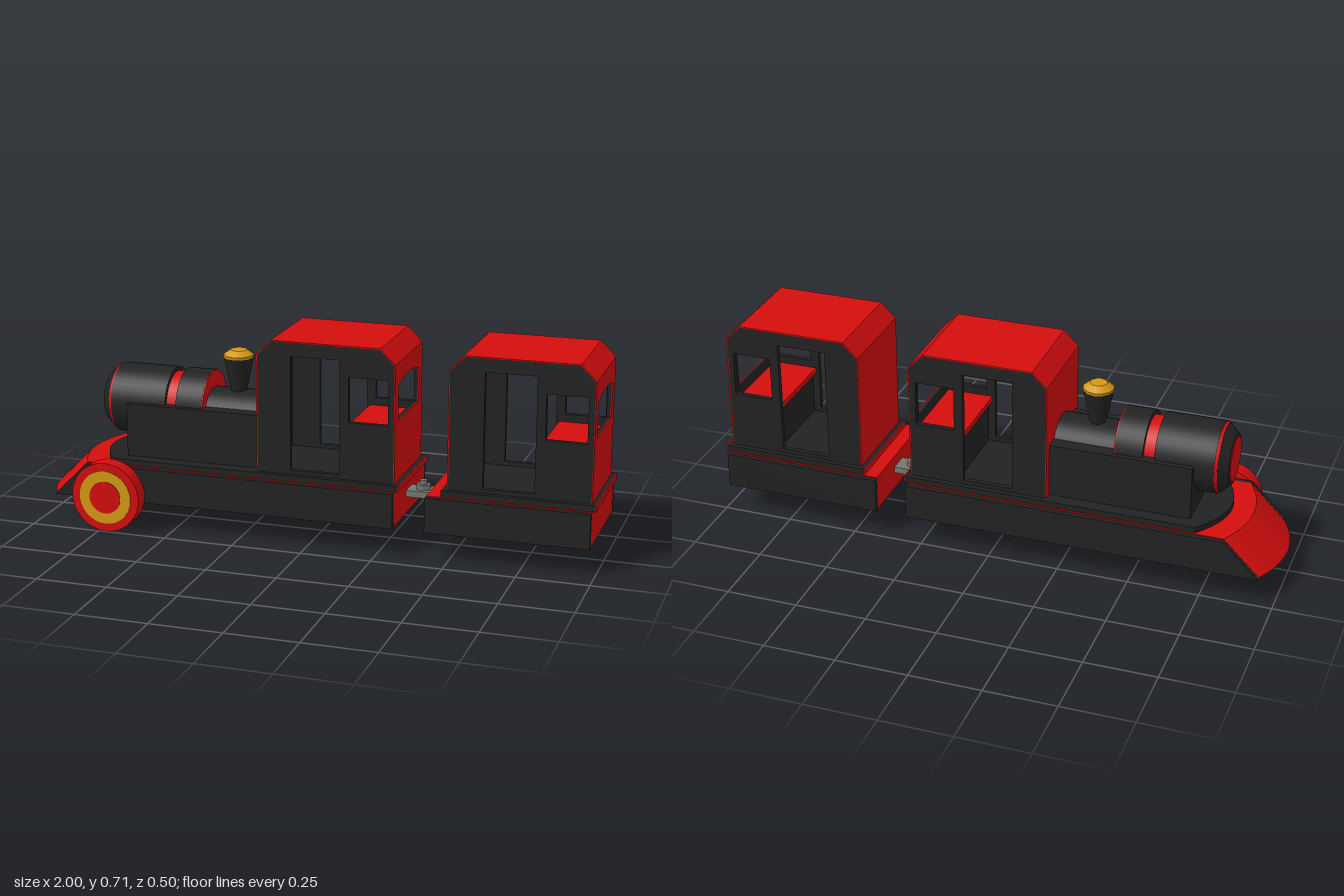
import * as THREE from 'three';

const mat = (name, color, side = THREE.FrontSide) => {
  const m = new THREE.MeshStandardMaterial({ color, side });
  m.name = name;
  return m;
};

export function createModel() {
  const black = mat('black', 0x222222);
  const red = mat('red', 0xd40d0d);
  const gold = mat('gold', 0xd49a12);
  const grey = mat('grey', 0x747a70);
  const ZC = -0.033; // centre line of the train
  const model = new THREE.Group();
  model.name = 'train';

  const add = (parent, name, geometry, material, x = 0, y = 0, z = 0) => {
    const mesh = new THREE.Mesh(geometry, material);
    mesh.name = name;
    mesh.position.set(x, y, z);
    parent.add(mesh);
    return mesh;
  };
  // Box given by its limits on each axis
  const box = (parent, name, material, [x0, x1], [y0, y1], [z0, z1]) =>
    add(parent, name, new THREE.BoxGeometry(x1 - x0, y1 - y0, z1 - z0), material,
      (x0 + x1) / 2, (y0 + y1) / 2, (z0 + z1) / 2);
  const polygon = (pts) => new THREE.Shape(pts.map(([x, y]) => new THREE.Vector2(x, y)));
  const rect = (x0, x1, y0, y1) => polygon([[x0, y0], [x1, y0], [x1, y1], [x0, y1]]);
  const extrude = (shape, depth) =>
    new THREE.ExtrudeGeometry(shape, { depth, bevelEnabled: false, curveSegments: 16 });
  // Cylinder lying along x, from x0 (radius r0) to x1 (radius r1)
  const barrel = (parent, name, material, x0, x1, r0, r1, y) =>
    add(parent, name, new THREE.CylinderGeometry(r0, r1, x1 - x0, 40).rotateZ(Math.PI / 2),
      material, (x0 + x1) / 2, y, ZC);
  // Flat slab with a bowed front end, seen from above
  const bowedSlab = (front, bow, back, half, height) => {
    const pts = [[back, -half], [back, half]];
    for (let i = 0; i <= 16; i++) {
      const u = 1 - i / 8;
      pts.push([front + bow * u * u, u * half]);
    }
    return extrude(polygon(pts), height).rotateX(-Math.PI / 2);
  };

  // Cab outline inset by t, from the front foot over the roof to the rear eave
  const arch = (x0, x1, t) => [
    [x0 + t, 0.243], [x0 + t, 0.66 - 0.4 * t], [x0 + 0.053 + 0.4 * t, 0.713 - t],
    [x1 - 0.053 - 0.4 * t, 0.713 - t], [x1 - t, 0.66 - 0.4 * t],
  ];

  function cab(x0) {
    const g = new THREE.Group();
    g.name = 'cab';
    const x1 = x0 + 0.494, z0 = -0.205, z1 = 0.14, width = z1 - z0;
    // Front wall and roof: red skin over a black lining
    const band = (a, b) => polygon([...arch(x0, x1, a), ...arch(x0, x1, b).reverse()]);
    add(g, 'roofAndFrontWall', extrude(band(0, 0.004), width), red, 0, 0, z0);
    add(g, 'roofLining', extrude(band(0.004, 0.02), width - 0.02), black, 0, 0, z0 + 0.01);
    // Side walls with door and window openings
    const side = polygon([...arch(x0, x1, 0.003), [x1 - 0.003, 0.243]]);
    side.holes.push(rect(x0 + 0.123, x0 + 0.299, 0.258, 0.662));
    side.holes.push(rect(x0 + 0.331, x0 + 0.47, 0.447, 0.605));
    const sideGeometry = extrude(side, 0.018);
    add(g, 'sideWall', sideGeometry, black, 0, 0, z0);
    add(g, 'sideWall', sideGeometry, black, 0, 0, z1 - 0.018);
    // Rear wall with an arched window
    const rear = (inset, depth) => {
      const s = rect(-z1 + inset, -z0 - inset, 0.243, 0.66);
      const hole = new THREE.Path();
      hole.moveTo(-0.098, 0.456);
      hole.lineTo(0.163, 0.456);
      hole.lineTo(0.163, 0.577);
      hole.quadraticCurveTo(0.0325, 0.617, -0.098, 0.577);
      hole.closePath();
      s.holes.push(hole);
      return extrude(s, depth).rotateY(Math.PI / 2);
    };
    add(g, 'rearWall', rear(0, 0.004), red, x1 - 0.004);
    add(g, 'rearLining', rear(0.01, 0.014), black, x1 - 0.018);
    // Bench under the side windows
    box(g, 'benchSeat', red, [x0 + 0.31, x1 - 0.019], [0.4, 0.42], [z0 + 0.019, z1 - 0.019]);
    box(g, 'benchBase', black, [x0 + 0.325, x1 - 0.019], [0.243, 0.4], [z0 + 0.019, z1 - 0.019]);
    return g;
  }

  const sidePlates = (parent, pts) => {
    const geometry = extrude(polygon(pts), 0.018);
    add(parent, 'sidePlate', geometry, black, 0, 0, 0.164);
    add(parent, 'sidePlate', geometry, black, 0, 0, -0.248);
  };

  // ---- Locomotive ----
  const loco = new THREE.Group();
  loco.name = 'locomotive';
  model.add(loco);

  // Red chassis, its bowed nose raked forward towards the bottom
  const chassis = bowedSlab(-0.875, 0.055, 0.305, 0.196, 0.125);
  const p = chassis.attributes.position;
  for (let i = 0; i < p.count; i++) {
    if (p.getX(i) < 0) p.setX(i, p.getX(i) - (0.125 - p.getY(i)));
  }
  chassis.computeVertexNormals();
  add(loco, 'chassis', chassis, red, 0, 0.097, ZC);
  sidePlates(loco, [[-0.945, 0.097], [0.305, 0.097], [0.305, 0.22], [-0.822, 0.22]]);
  add(loco, 'deck', bowedSlab(-0.8, 0.08, 0.317, 0.19, 0.021), black, 0, 0.222, ZC);
  box(loco, 'deckEnd', red, [0.317, 0.32], [0.222, 0.243], [-0.223, 0.157]);

  // Boiler and tank
  box(loco, 'tank', black, [-0.69, -0.194], [0.243, 0.433], [-0.175, 0.109]);
  barrel(loco, 'boilerNose', black, -0.8, -0.768, 0.088, 0.117, 0.418);
  barrel(loco, 'frontDoor', red, -0.803, -0.799, 0.078, 0.08, 0.418);
  barrel(loco, 'frontRim', red, -0.768, -0.758, 0.119, 0.122, 0.418);
  barrel(loco, 'smokebox', black, -0.758, -0.553, 0.124, 0.124, 0.418);
  barrel(loco, 'redBand', red, -0.553, -0.513, 0.108, 0.108, 0.418);
  barrel(loco, 'boilerRing', black, -0.513, -0.416, 0.124, 0.124, 0.418);
  barrel(loco, 'ringBackFace', red, -0.416, -0.412, 0.123, 0.123, 0.418);
  barrel(loco, 'rearBoiler', black, -0.412, -0.194, 0.11, 0.11, 0.372);

  // Chimney with a faceted gold cap
  add(loco, 'chimney', new THREE.CylinderGeometry(0.053, 0.027, 0.125, 24), black, -0.32, 0.535, ZC);
  add(loco, 'chimneyRim', new THREE.CylinderGeometry(0.055, 0.053, 0.01, 12), gold, -0.32, 0.602, ZC);
  add(loco, 'chimneyCap', new THREE.CylinderGeometry(0.03, 0.053, 0.018, 12), gold, -0.32, 0.616, ZC);

  // Single wheel on the +z side: tyre, gold ring and hub
  const disc = (name, r, z0, z1, material) =>
    add(loco, name, new THREE.CylinderGeometry(r, r, z1 - z0, 48).rotateX(Math.PI / 2),
      material, -0.722, 0.125, (z0 + z1) / 2);
  disc('wheel', 0.125, 0.187, 0.245, red);
  disc('wheelRing', 0.096, 0.244, 0.247, gold);
  disc('wheelHub', 0.058, 0.246, 0.249, red);

  loco.add(cab(-0.194));

  // ---- Carriage ----
  const carriage = new THREE.Group();
  carriage.name = 'carriage';
  model.add(carriage);
  box(carriage, 'chassis', red, [0.417, 0.982], [0.097, 0.222], [-0.229, 0.163]);
  sidePlates(carriage, [[0.417, 0.097], [0.982, 0.097], [0.982, 0.22], [0.417, 0.22]]);
  box(carriage, 'deck', black, [0.468, 0.992], [0.222, 0.243], [-0.223, 0.157]);
  for (const x of [0.465, 0.992]) {
    box(carriage, 'deckEnd', red, [x, x + 0.003], [0.222, 0.243], [-0.223, 0.157]);
  }
  carriage.add(cab(0.484));

  // ---- Coupling ----
  box(model, 'couplingBar', grey, [0.3, 0.42], [0.157, 0.18], [-0.07, 0.004]);
  add(model, 'couplingBolt', new THREE.CylinderGeometry(0.026, 0.026, 0.018, 6), grey, 0.357, 0.189, ZC);
  add(model, 'couplingPin', new THREE.CylinderGeometry(0.013, 0.013, 0.016, 16), grey, 0.357, 0.205, ZC);

  return model;
}
